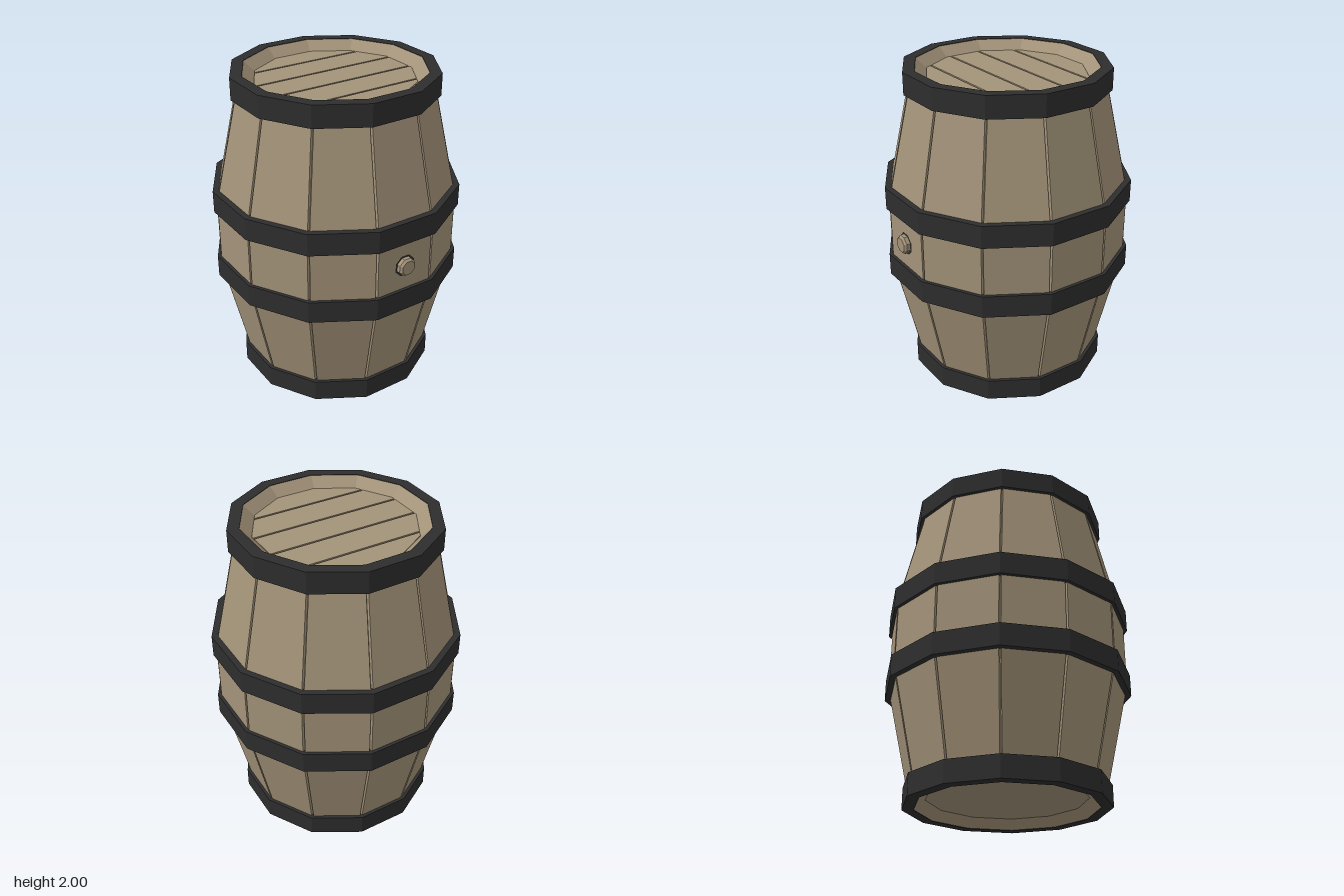
import * as THREE from 'three';

const SIDES = 12;
const HALF = Math.PI / SIDES;
const LID = 0.475; // flat-to-centre distance of the recessed lids

const wood = new THREE.MeshStandardMaterial({ name: 'wood', color: 0xa39379 });
const iron = new THREE.MeshStandardMaterial({ name: 'iron', color: 0x2e2e2e });

function part(name, geometry, material) {
  const flat = geometry.index ? geometry.toNonIndexed() : geometry;
  flat.computeVertexNormals();
  const mesh = new THREE.Mesh(flat, material);
  mesh.name = name;
  return mesh;
}

// Twelve-sided turned form; profile is [flat-to-centre distance, height]
function turned(profile) {
  const points = profile.map(([a, y]) => new THREE.Vector2(a / Math.cos(HALF), y));
  return new THREE.LatheGeometry(points, SIDES, HALF);
}

// Stave wall: flat boards with a narrow V groove at every corner
function staveGeometry() {
  const levels = [[0.56, 0.02], [0.59, 0.135], [0.73, 0.775], [0.73, 1.225], [0.59, 1.865], [0.56, 1.98]];
  const gap = 0.007, depth = 0.02;
  const n = SIDES * 3;
  const positions = [], indices = [];
  for (const [a, y] of levels) {
    const h = a * Math.tan(HALF) - gap;
    for (let i = 0; i < SIDES; i++) {
      const mid = i * HALF * 2, s = Math.sin(mid), c = Math.cos(mid);
      const r = (a - depth) / Math.cos(HALF);
      positions.push(a * s - h * c, y, a * c + h * s);
      positions.push(a * s + h * c, y, a * c - h * s);
      positions.push(r * Math.sin(mid + HALF), y, r * Math.cos(mid + HALF));
    }
  }
  for (let j = 0; j < levels.length - 1; j++) {
    for (let i = 0; i < n; i++) {
      const a = j * n + i, b = j * n + (i + 1) % n;
      indices.push(a, b, b + n, a, b + n, a + n);
    }
  }
  const g = new THREE.BufferGeometry();
  g.setAttribute('position', new THREE.Float32BufferAttribute(positions, 3));
  g.setIndex(indices);
  return g;
}

// Half width of the twelve-sided lid at depth z
function lidHalfWidth(z) {
  return Math.min(...[0, 1, 2].map((k) => {
    const t = k * HALF * 2;
    return (LID - Math.abs(z) * Math.sin(t)) / Math.cos(t);
  }));
}

// One lid board between two depths, clipped to the lid outline
function plankGeometry(z0, z1, thickness) {
  const r = LID / Math.cos(HALF);
  const corners = [Math.sin(HALF) * r, Math.sin(3 * HALF) * r];
  const cuts = [...corners, ...corners.map((c) => -c)].filter((z) => z > z0 && z < z1);
  const zs = [z0, ...cuts, z1].sort((a, b) => a - b);
  const right = zs.map((z) => new THREE.Vector2(lidHalfWidth(z), -z));
  const left = zs.map((z) => new THREE.Vector2(-lidHalfWidth(z), -z)).reverse();
  const g = new THREE.ExtrudeGeometry(new THREE.Shape([...right, ...left]), { depth: thickness, bevelEnabled: false });
  return g.rotateX(-Math.PI / 2);
}

export function createModel() {
  const model = new THREE.Group();
  model.name = 'barrel';
  const body = new THREE.Group();
  body.name = 'barrelBody';
  body.position.z = -0.01;
  model.add(body);

  body.add(part('staves', staveGeometry(), wood));

  // Iron hoops: end hoops and the pair around the belly
  const hoops = [
    ['bottomHoop', 0.54, 0.61, 0, 0.137],
    ['lowerHoop', 0.70, 0.75, 0.705, 0.845],
    ['upperHoop', 0.70, 0.75, 1.16, 1.3],
    ['topHoop', 0.54, 0.61, 1.865, 2],
  ];
  for (const [name, inner, outer, y0, y1] of hoops) {
    body.add(part(name, turned([[outer, y0], [outer, y1], [inner, y1], [inner, y0], [outer, y0]]), iron));
  }

  // Sloped inner rims and the solid lid bases
  body.add(part('topRim', turned([[0.541, 1.998], [LID, 1.935], [0, 1.925]].slice(0, 2)), wood));
  body.add(part('topLidBase', turned([[LID, 1.928], [0, 1.928]]), wood));
  body.add(part('bottomRim', turned([[LID, 0.06], [0.541, 0.002]]), wood));
  body.add(part('bottomLid', turned([[0, 0.06], [LID, 0.06]]), wood));

  // Five boards on the top lid
  const edges = [-LID, -0.31, -0.105, 0.1, 0.305, LID];
  for (let i = 0; i < 5; i++) {
    const z0 = edges[i] + (i > 0 ? 0.006 : 0);
    const z1 = edges[i + 1] - (i < 4 ? 0.006 : 0);
    const plank = part('lidPlank' + (i + 1), plankGeometry(z0, z1, 0.015), wood);
    plank.position.y = 1.925;
    body.add(plank);
  }

  // Eight-sided bung with a chamfered face and a dark seat ring
  const bung = new THREE.Group();
  bung.name = 'bung';
  bung.position.set(0, 1.005, 0);
  const k = 1 / Math.cos(Math.PI / 8);
  const plugProfile = [[0.055, 0.7], [0.055, 0.756], [0.043, 0.77], [0, 0.77]];
  const plug = new THREE.LatheGeometry(plugProfile.map(([r, y]) => new THREE.Vector2(r * k, y)), 8, Math.PI / 8);
  bung.add(part('bungPlug', plug.rotateX(Math.PI / 2), wood));
  const ring = new THREE.RingGeometry(0.055 * k, 0.066 * k, 8, 1, Math.PI / 8);
  const seat = part('bungSeat', ring, iron);
  seat.position.z = 0.732;
  bung.add(seat);
  body.add(bung);

  return model;
}
